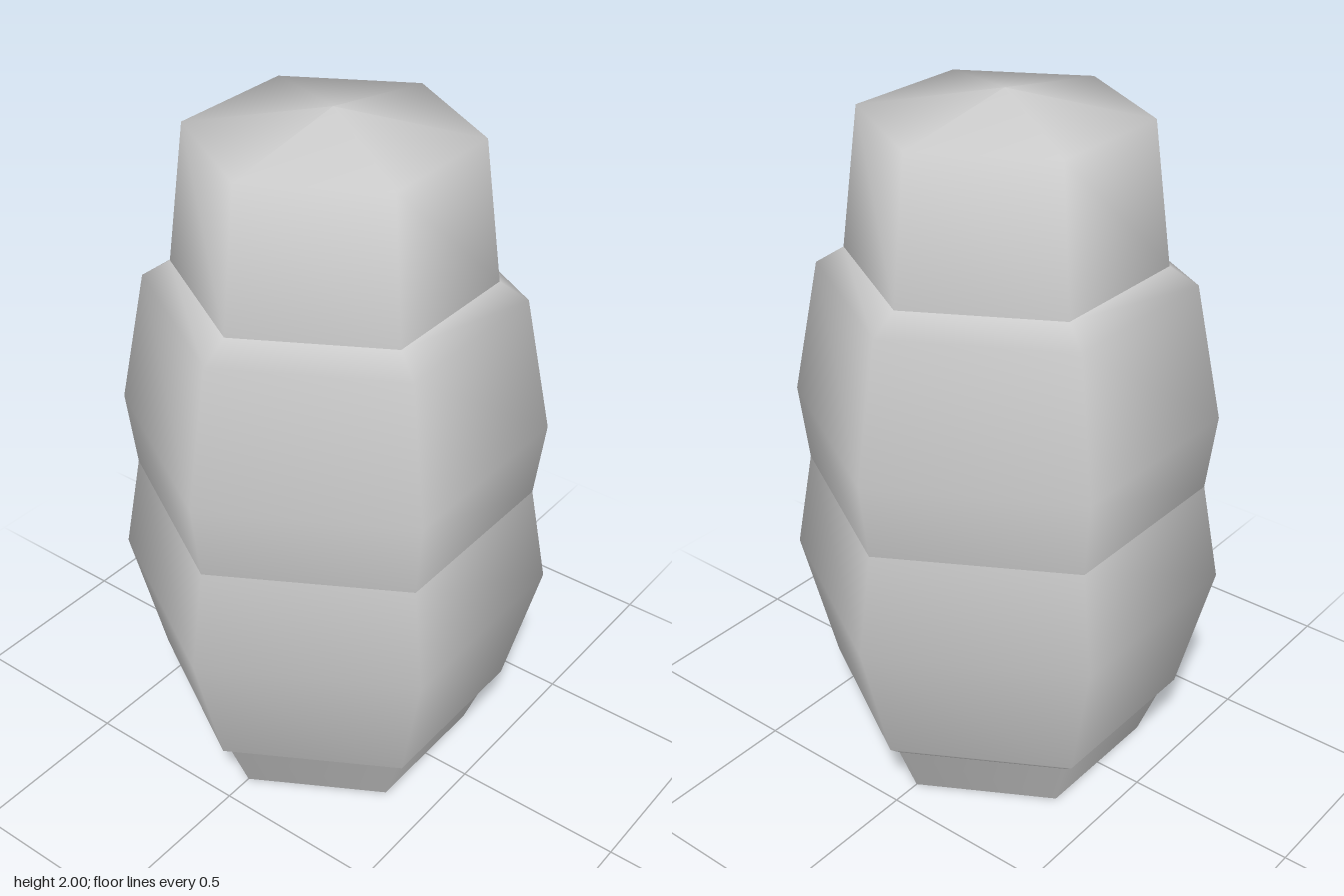
import * as THREE from 'three';

export function createModel() {
  const model = new THREE.Group();
  const shell = new THREE.MeshStandardMaterial({ color: 0xcccccc, side: THREE.DoubleSide });
  shell.name = 'pale grey';
  const dark = new THREE.MeshStandardMaterial({ color: 0x1c0c0c });
  dark.name = 'dark brown';

  // Six-sided turned part from [radius, height] pairs, corners on the z axis
  const turned = (name, points) => {
    const profile = points.map(([r, y]) => new THREE.Vector2(r, y));
    const mesh = new THREE.Mesh(new THREE.LatheGeometry(profile, 6), shell);
    mesh.name = name;
    model.add(mesh);
  };

  // Outer tiers, smooth within each tier and creased between them
  turned('foot', [[0.412, 0], [0.48, 0.165]]);
  turned('lowerBody', [[0.48, 0.165], [0.517, 0.197], [0.618, 0.585], [0.567, 0.878]]);
  turned('upperBody', [[0.567, 0.878], [0.594, 1.1], [0.517, 1.49], [0.438, 1.54]]);
  turned('cap', [[0.438, 1.54], [0.387, 1.937], [0, 2]]);

  // Stepped rim around the open underside
  turned('rimEdge', [[0.385, 0], [0.412, 0]]);
  turned('rimWall', [[0.385, 0.025], [0.385, 0]]);
  turned('innerFlange', [[0.3, 0.025], [0.385, 0.025]]);

  // Crossed bars and hub inside the opening
  const cross = new THREE.Group();
  cross.name = 'innerCross';
  for (let i = 0; i < 2; i++) {
    const bar = new THREE.Mesh(new THREE.BoxGeometry(0.7, 0.025, 0.025), dark);
    bar.name = 'crossBar';
    bar.rotation.y = i * Math.PI / 2;
    cross.add(bar);
  }
  const hub = new THREE.Mesh(new THREE.CylinderGeometry(0.03, 0.03, 0.05, 6), shell);
  hub.name = 'hub';
  cross.add(hub);
  cross.position.y = 0.1;
  cross.rotation.y = 0.15;
  model.add(cross);

  return model;
}
